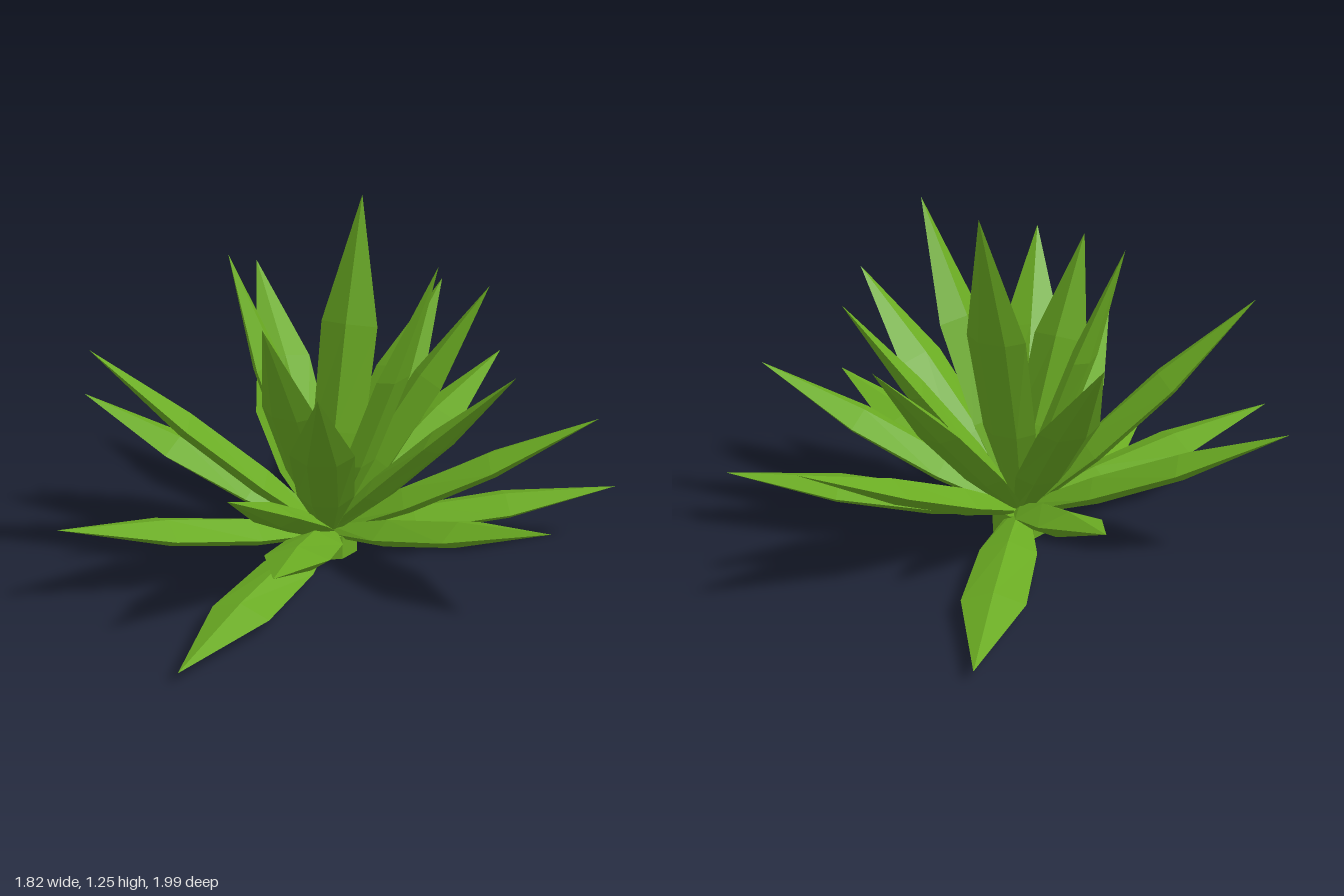
import * as THREE from 'three';

const BASE = new THREE.Vector3(-0.04, 0.07, -0.04);

// Leaf tips from the inner, upright leaves to the outer, flat ones
const TIPS = [
  [-0.15, 1.25, -0.36], [0.40, 1.16, -0.08], [-0.38, 1.09, 0.10],
  [0.05, 0.99, 0.40], [0.25, 0.93, -0.60], [0.44, 0.90, 0.58],
  [-0.70, 0.89, -0.39], [-0.57, 0.83, 0.60], [0.71, 0.84, -0.10],
  [-0.10, 0.84, -0.79], [0.77, 0.57, -0.54], [0.22, 0.56, 0.76],
  [-0.91, 0.50, 0.34], [0.04, 0.52, -1.0], [-0.86, 0.46, -0.56],
  [0.53, 0.45, 0.89], [0.91, 0.36, -0.04], [-0.44, 0.30, 0.90],
  [0.73, 0.22, -0.76], [0.21, 0.045, 0.99], [-0.63, 0.045, -0.90],
];

// Cross-section: right edge, top ridge, left edge, flat underside
const SECTION = [[1, 0], [0, 1], [-1, 0], [-0.45, -1], [0.45, -1]];
// Position along the leaf, half width, half thickness
const RINGS = [[0, 0.03, 0.02], [0.3, 0.1, 0.042], [0.62, 0.108, 0.038], [1, 0, 0]];

function leafGeometry(length) {
  const pos = [];
  const point = (i, j) => {
    const [t, w, h] = RINGS[i];
    const [x, y] = SECTION[j % SECTION.length];
    return [x * w, y * h, t * length];
  };
  for (let i = 0; i < RINGS.length - 1; i++) {
    for (let j = 0; j < SECTION.length; j++) {
      const a = point(i, j), b = point(i, j + 1);
      const c = point(i + 1, j + 1), d = point(i + 1, j);
      pos.push(...a, ...b, ...c);
      if (i < RINGS.length - 2) pos.push(...a, ...c, ...d);
    }
  }
  const geo = new THREE.BufferGeometry();
  geo.setAttribute('position', new THREE.Float32BufferAttribute(pos, 3));
  geo.computeVertexNormals(); // unshared corners give flat facets
  return geo;
}

export function createModel() {
  const group = new THREE.Group();
  group.name = 'succulentPlant';
  const green = new THREE.MeshStandardMaterial({ color: 0x6aab22 });
  green.name = 'leafGreen';

  // Short faceted stem
  const stemGeo = new THREE.CylinderGeometry(0.11, 0.11, 0.09, 8).toNonIndexed();
  stemGeo.computeVertexNormals();
  const stem = new THREE.Mesh(stemGeo, green);
  stem.name = 'stem';
  stem.rotation.y = Math.PI / 8;
  stem.position.set(BASE.x, 0.045, BASE.z);
  group.add(stem);

  // Rosette of leaves, each laid from the crown to its tip
  const up = new THREE.Vector3(0, 1, 0);
  TIPS.forEach((tip, i) => {
    const dir = new THREE.Vector3(...tip).sub(BASE);
    const leaf = new THREE.Mesh(leafGeometry(dir.length()), green);
    leaf.name = `leaf${i + 1}`;
    dir.normalize();
    const right = new THREE.Vector3().crossVectors(up, dir).normalize();
    const normal = new THREE.Vector3().crossVectors(dir, right);
    leaf.quaternion.setFromRotationMatrix(new THREE.Matrix4().makeBasis(right, normal, dir));
    leaf.position.copy(BASE);
    group.add(leaf);
  });
  return group;
}
